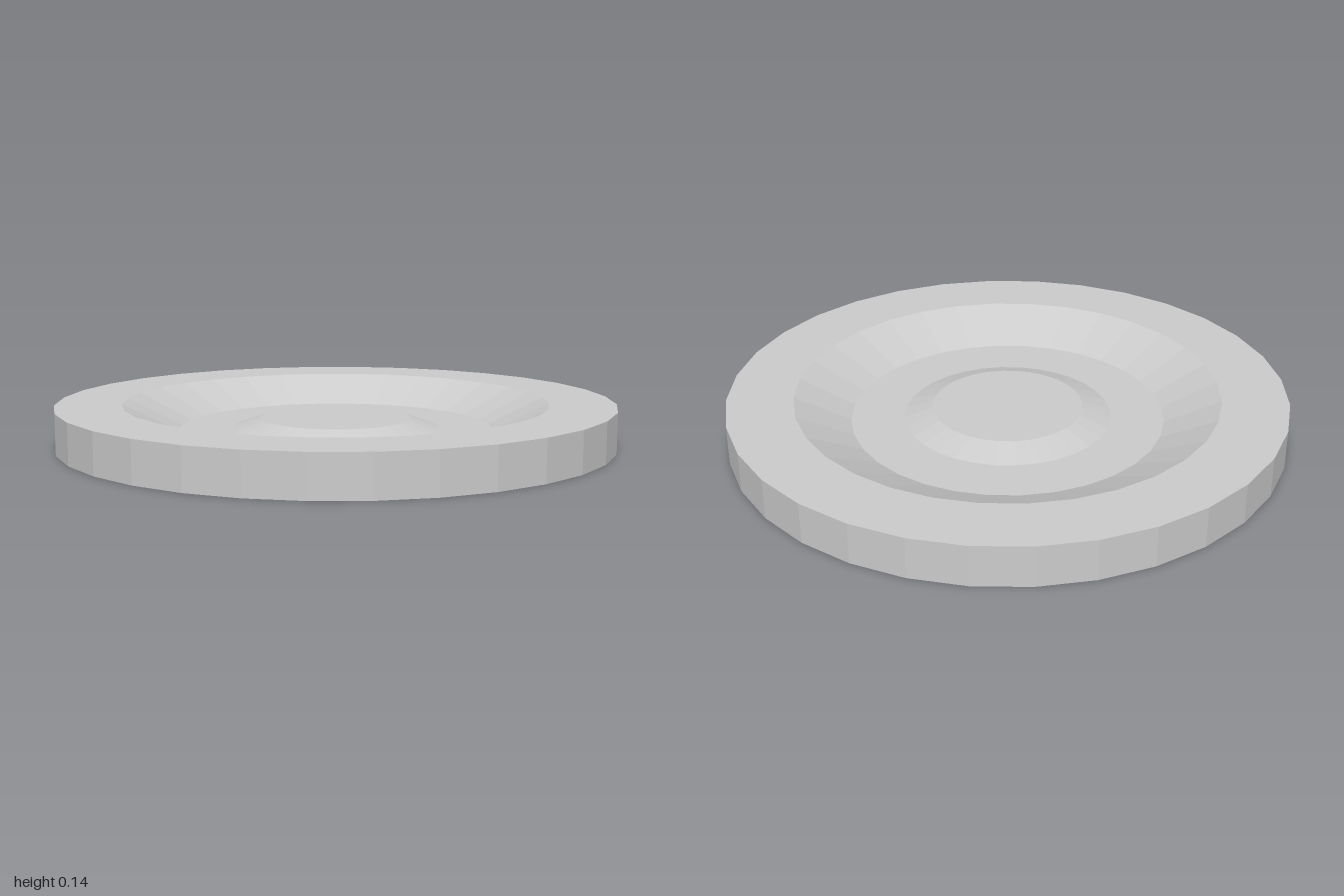
import * as THREE from 'three';

const SIDES = 32;

export function createModel() {
  const model = new THREE.Group();
  model.name = 'dish';
  const material = new THREE.MeshStandardMaterial({ color: 0xcccccc, flatShading: true });

  // Closed profile [radius, height], from the underside round to the centre of the top
  const profile = [
    [0, 0],
    [1, 0],         // base edge
    [1, 0.145],     // outer rim
    [0.763, 0.145], // sloped wall into the recess
    [0.563, 0.05],  // recess floor
    [0.372, 0.05],  // foot of the central boss
    [0.27, 0.086],  // top of the boss
    [0, 0.086],
  ].map(([r, y]) => new THREE.Vector2(r, y));

  const disc = new THREE.Mesh(new THREE.LatheGeometry(profile, SIDES), material);
  disc.name = 'recessedDisc';
  model.add(disc);
  return model;
}
